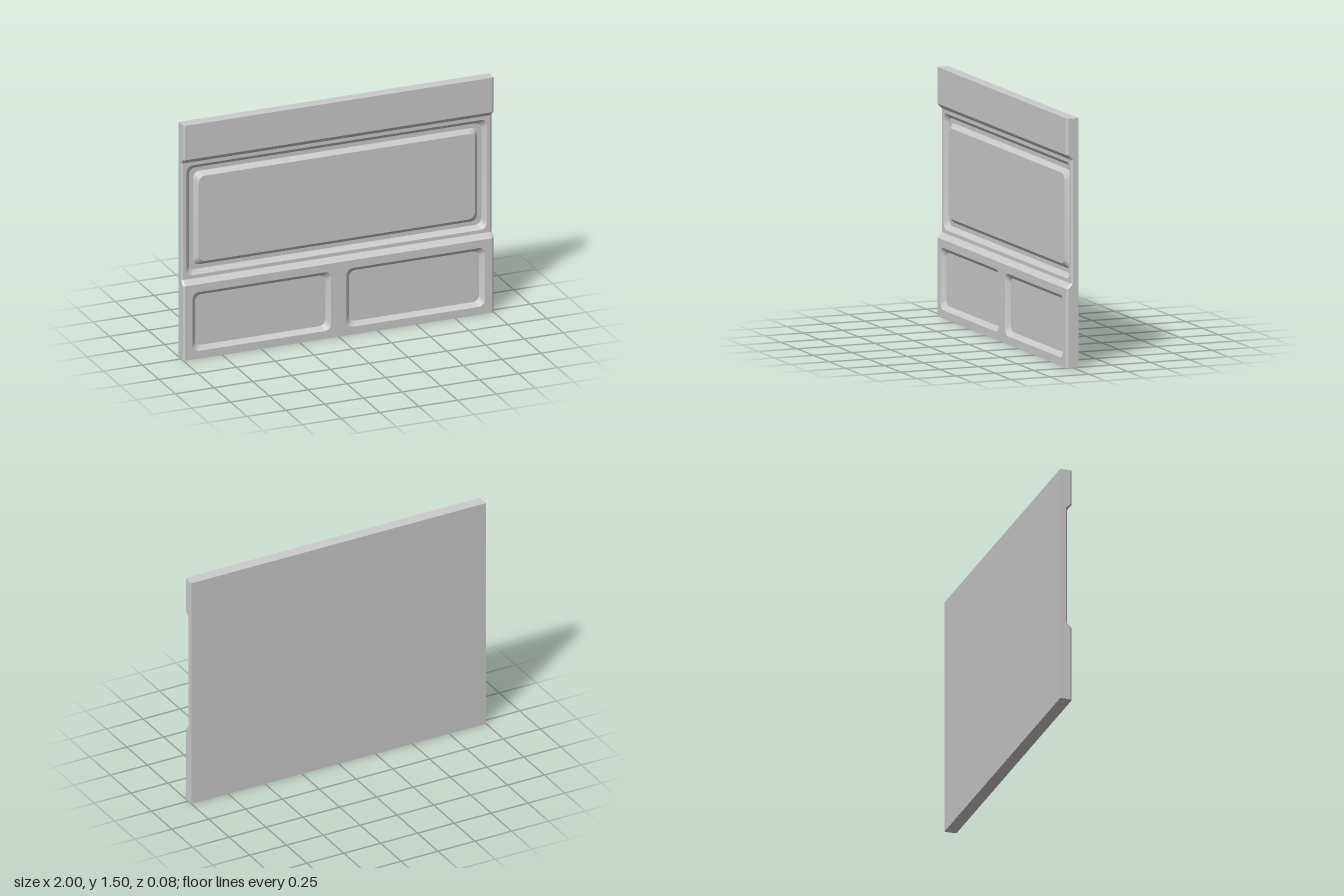
import * as THREE from 'three';
import { toCreasedNormals } from 'three/addons/utils/BufferGeometryUtils.js';

const material = new THREE.MeshStandardMaterial({ color: 0xcccccc });
const BACK = -0.0375, FRONT = 0.0375, MID = 0.0075; // z levels of the slab
const BEVEL = 0.01, STEP = 0.026;                   // side bevel, width and depth of mouldings

function addMesh(group, name, geometry) {
  const mesh = new THREE.Mesh(geometry, material);
  mesh.name = name;
  group.add(mesh);
}

function fromTriangles(points) {
  const geometry = new THREE.BufferGeometry().setFromPoints(points);
  geometry.computeVertexNormals();
  return geometry;
}

// Quads between two closed loops of equal length; skip leaves one side open
function band(a, b, skip = -1) {
  const out = [];
  a.forEach((p, i) => {
    if (i === skip) return;
    const j = (i + 1) % a.length;
    out.push(p, a[j], b[j], p, b[j], b[i]);
  });
  return out;
}

// Horizontal outline of the slab at height y with its front at z
function section(y, z) {
  return [
    [-1, BACK], [-1, z - BEVEL], [-1 + BEVEL, z],
    [1 - BEVEL, z], [1, z - BEVEL], [1, BACK],
  ].map(([x, d]) => new THREE.Vector3(x, y, d));
}

// Counter-clockwise rounded rectangle, inset from its outer bounds
function roundedLoop([x0, x1, y0, y1], inset, z, r = 0.04, n = 6) {
  const l = x0 + inset + r, R = x1 - inset - r, b = y0 + inset + r, t = y1 - inset - r;
  const points = [];
  [[R, t], [l, t], [l, b], [R, b]].forEach(([cx, cy], k) => {
    for (let i = 0; i <= n; i++) {
      const a = (k + i / n) * Math.PI / 2;
      points.push(new THREE.Vector3(cx + r * Math.cos(a), cy + r * Math.sin(a), z));
    }
  });
  return points;
}

const flat = (loop) => loop.map((p) => new THREE.Vector2(p.x, p.y));

// Flat front face with rounded openings
function face(y0, y1, z, openings) {
  const w = 1 - BEVEL;
  const shape = new THREE.Shape([[-w, y0], [w, y0], [w, y1], [-w, y1]].map((p) => new THREE.Vector2(...p)));
  openings.forEach((o) => shape.holes.push(new THREE.Path(flat(roundedLoop(o, 0, z)))));
  return new THREE.ShapeGeometry(shape).translate(0, 0, z);
}

// Moulded panel: steps are [inset, z] pairs from the opening to the field
function addPanel(parent, name, bounds, steps) {
  const group = new THREE.Group();
  group.name = name;
  const loops = steps.map(([inset, z]) => roundedLoop(bounds, inset, z));
  for (let i = 1; i < loops.length; i++) {
    addMesh(group, 'moulding', toCreasedNormals(fromTriangles(band(loops[i - 1], loops[i])), 0.5));
  }
  const field = new THREE.ShapeGeometry(new THREE.Shape(flat(loops.at(-1))));
  addMesh(group, 'field', field.translate(0, 0, steps.at(-1)[1]));
  parent.add(group);
}

export function createModel() {
  const model = new THREE.Group();
  model.name = 'wallPanel';

  // Slab: thick base, thinner middle, thick top, with sloped transitions
  const rows = [[0, FRONT], [0.475, FRONT], [0.505, MID], [1.25, MID], [1.28, FRONT], [1.5, FRONT]];
  const sections = rows.map(([y, z]) => section(y, z));
  const triangles = [];
  for (let i = 0; i < sections.length - 1; i++) {
    const panelled = i === 0 || i === 2;
    triangles.push(...band(sections[i], sections[i + 1], panelled ? 2 : -1));
  }
  const bottom = sections[0], top = sections.at(-1);
  for (let i = 1; i < 5; i++) {
    triangles.push(top[0], top[i], top[i + 1], bottom[0], bottom[i + 1], bottom[i]);
  }
  addMesh(model, 'slab', fromTriangles(triangles));

  // Front faces around the panels
  const upper = [-0.968, 0.968, 0.527, 1.228];
  const lower = [[-0.942, -0.05, 0.05, 0.425], [0.05, 0.942, 0.05, 0.425]];
  addMesh(model, 'lowerFace', face(0, 0.475, FRONT, lower));
  addMesh(model, 'middleFace', face(0.505, 1.25, MID, [upper]));

  // Large panel: a groove around a raised field
  addPanel(model, 'upperPanel', upper,
    [[0, MID], [STEP, MID - STEP], [2 * STEP, MID - STEP], [3 * STEP, MID]]);

  // Two sunken panels below
  addPanel(model, 'rightLowerPanel', lower[0], [[0, FRONT], [STEP, FRONT - STEP]]);
  addPanel(model, 'leftLowerPanel', lower[1], [[0, FRONT], [STEP, FRONT - STEP]]);
  return model;
}
